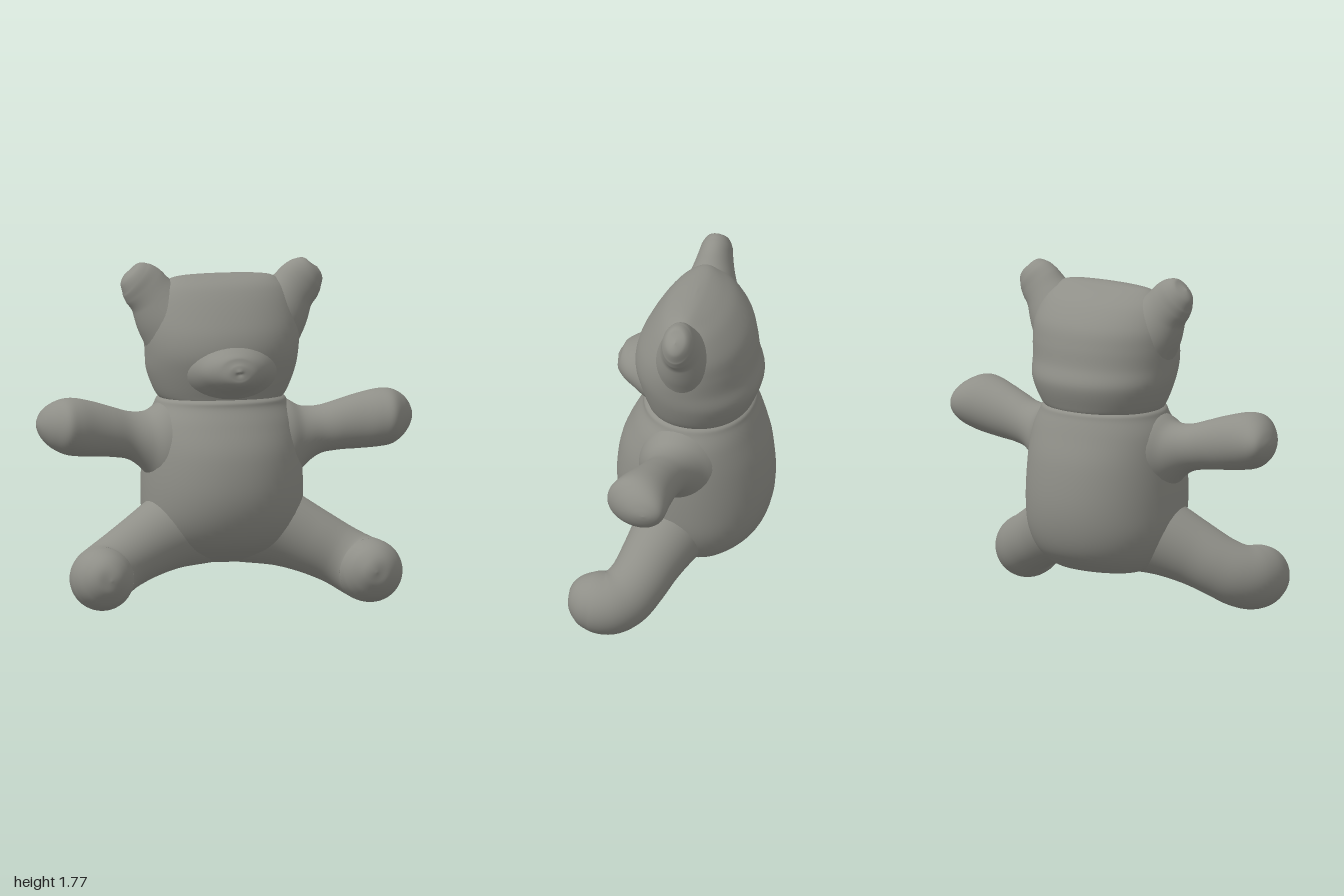
import * as THREE from 'three';
import { mergeVertices } from 'three/addons/utils/BufferGeometryUtils.js';

const plush = new THREE.MeshStandardMaterial({ color: 0x8f8f88 });
plush.name = 'grey plush';

const SIDES = 48;

// Smoothly interpolated rows of numbers, returned as a function of 0..1
function smoothRows(rows) {
  const columns = rows[0].map((_, c) =>
    new THREE.SplineCurve(rows.map((r, i) => new THREE.Vector2(i, r[c]))));
  return (u) => columns.map((curve) => curve.getPoint(u).y);
}

// Closed rings joined into one smooth skin
function skin(steps, ringPoint) {
  const position = [], index = [];
  for (let i = 0; i <= steps; i++) {
    for (let j = 0; j < SIDES; j++) {
      const p = ringPoint(i / steps, (j / SIDES) * Math.PI * 2);
      position.push(p.x, p.y, p.z);
      if (i === steps) continue;
      const a = i * SIDES + j, b = i * SIDES + ((j + 1) % SIDES);
      index.push(a, b, a + SIDES, b, b + SIDES, a + SIDES);
    }
  }
  const geo = new THREE.BufferGeometry();
  geo.setAttribute('position', new THREE.Float32BufferAttribute(position, 3));
  geo.setIndex(index);
  const merged = mergeVertices(geo, 1e-5);
  merged.computeVertexNormals();
  return merged;
}

const rounded = (v, n) => Math.sign(v) * Math.pow(Math.abs(v), 2 / n);

// Upright form from rows of [y, half width, front z, back z]
function uprightForm(rows, n) {
  const at = smoothRows(rows);
  return skin(64, (u, t) => {
    const [y, w, front, back] = at(u);
    return new THREE.Vector3(rounded(Math.sin(t), n) * w, y,
      (front + back) / 2 + rounded(Math.cos(t), n) * (front - back) / 2);
  });
}

// Sideways form from rows of [x, top y, bottom y, front z, back z]
function sidewaysForm(rows) {
  const at = smoothRows(rows);
  return skin(60, (u, t) => {
    const [x, top, bottom, front, back] = at(u);
    return new THREE.Vector3(x,
      (top + bottom) / 2 + Math.cos(t) * (top - bottom) / 2,
      (front + back) / 2 + Math.sin(t) * (front - back) / 2);
  });
}

// Bent form along a path, rows of [x, y, z, side radius, upper radius]
function pathForm(rows) {
  const at = smoothRows(rows);
  const centre = (u) => new THREE.Vector3(...at(u).slice(0, 3));
  const up = new THREE.Vector3(0, 1, 0);
  return skin(60, (u, t) => {
    const dir = centre(Math.min(1, u + 0.01)).sub(centre(Math.max(0, u - 0.01))).normalize();
    const side = new THREE.Vector3().crossVectors(up, dir).normalize();
    const lift = new THREE.Vector3().crossVectors(dir, side);
    const [, , , rSide, rUp] = at(u);
    return centre(u).addScaledVector(side, Math.cos(t) * rSide).addScaledVector(lift, Math.sin(t) * rUp);
  });
}

// Mirrored copy across x with corner order turned round
function mirrored(geo) {
  const copy = geo.clone().scale(-1, 1, 1);
  const idx = copy.index;
  for (let i = 0; i < idx.count; i += 3) {
    const a = idx.getX(i);
    idx.setX(i, idx.getX(i + 1));
    idx.setX(i + 1, a);
  }
  copy.computeVertexNormals();
  return copy;
}

export function createModel() {
  const bear = new THREE.Group();
  bear.name = 'teddyBear';
  const add = (name, geo) => {
    const mesh = new THREE.Mesh(geo, plush);
    mesh.name = name;
    bear.add(mesh);
  };
  const addPair = (name, geo) => {
    add('left' + name, geo);
    add('right' + name, mirrored(geo));
  };

  // Pear-shaped body, closed inside the neck
  add('body', uprightForm([
    [0.19, 0, -0.1, -0.1], [0.195, 0.19, 0.0, -0.22], [0.22, 0.28, 0.09, -0.29],
    [0.3, 0.36, 0.24, -0.385], [0.42, 0.41, 0.325, -0.44], [0.58, 0.42, 0.36, -0.46],
    [0.78, 0.412, 0.338, -0.442], [0.93, 0.39, 0.275, -0.4], [1.02, 0.35, 0.225, -0.37],
    [1.06, 0.325, 0.21, -0.35], [1.09, 0.24, 0.14, -0.26], [1.1, 0, -0.06, -0.06],
  ], 2.1));

  // Head with a flattened crown
  add('head', uprightForm([
    [1.02, 0.24, 0.12, -0.26], [1.045, 0.305, 0.185, -0.335], [1.09, 0.345, 0.205, -0.365],
    [1.2, 0.388, 0.24, -0.4], [1.3, 0.402, 0.26, -0.375], [1.4, 0.408, 0.245, -0.36],
    [1.5, 0.4, 0.2, -0.33], [1.6, 0.365, 0.14, -0.255], [1.66, 0.31, 0.085, -0.175],
    [1.695, 0.23, 0.01, -0.1], [1.705, 0, -0.05, -0.05],
  ], 2.1));

  // Short muzzle
  add('muzzle', pathForm([
    [0, 1.23, 0.1, 0.29, 0.2], [0, 1.23, 0.19, 0.235, 0.16], [0, 1.23, 0.25, 0.19, 0.125],
    [0, 1.23, 0.3, 0.15, 0.1], [0, 1.23, 0.338, 0.1, 0.075], [0, 1.232, 0.357, 0.05, 0.04],
    [0, 1.232, 0.36, 0, 0],
  ]));

  // Ears flaring out of the upper corners of the head
  addPair('Ear', pathForm([
    [0.2, 1.4, -0.055, 0.2, 0.23], [0.3, 1.5, -0.055, 0.15, 0.172], [0.37, 1.592, -0.055, 0.11, 0.13],
    [0.42, 1.648, -0.055, 0.09, 0.122], [0.46, 1.682, -0.055, 0.078, 0.105],
    [0.495, 1.706, -0.055, 0.05, 0.068], [0.51, 1.72, -0.055, 0, 0],
  ]));

  // Arms spread sideways with slanted paws
  addPair('Arm', sidewaysForm([
    [0.22, 1.06, 0.48, 0.2, -0.29], [0.33, 1.04, 0.56, 0.18, -0.255], [0.41, 1.0, 0.67, 0.135, -0.18],
    [0.5, 1.0, 0.745, 0.115, -0.127], [0.6, 1.03, 0.768, 0.138, -0.106], [0.7, 1.062, 0.775, 0.168, -0.1],
    [0.8, 1.086, 0.784, 0.207, -0.1], [0.87, 1.086, 0.797, 0.22, -0.102], [0.93, 1.058, 0.828, 0.165, -0.1],
    [0.97, 1.02, 0.868, 0.105, -0.084], [0.992, 0.978, 0.91, 0.05, -0.045], [1.0, 0.945, 0.945, 0, 0],
  ]));

  // Legs splayed outwards, turning forward and ending in round feet
  addPair('Leg', pathForm([
    [0.15, 0.42, -0.02, 0.23, 0.24], [0.31, 0.365, 0.03, 0.19, 0.2], [0.455, 0.3, 0.08, 0.165, 0.173],
    [0.58, 0.235, 0.125, 0.155, 0.16], [0.665, 0.187, 0.18, 0.16, 0.163], [0.71, 0.167, 0.25, 0.168, 0.167],
    [0.715, 0.172, 0.33, 0.158, 0.158], [0.71, 0.178, 0.4, 0.122, 0.125], [0.705, 0.18, 0.448, 0.066, 0.068],
    [0.705, 0.18, 0.463, 0, 0],
  ]));

  return bear;
}
